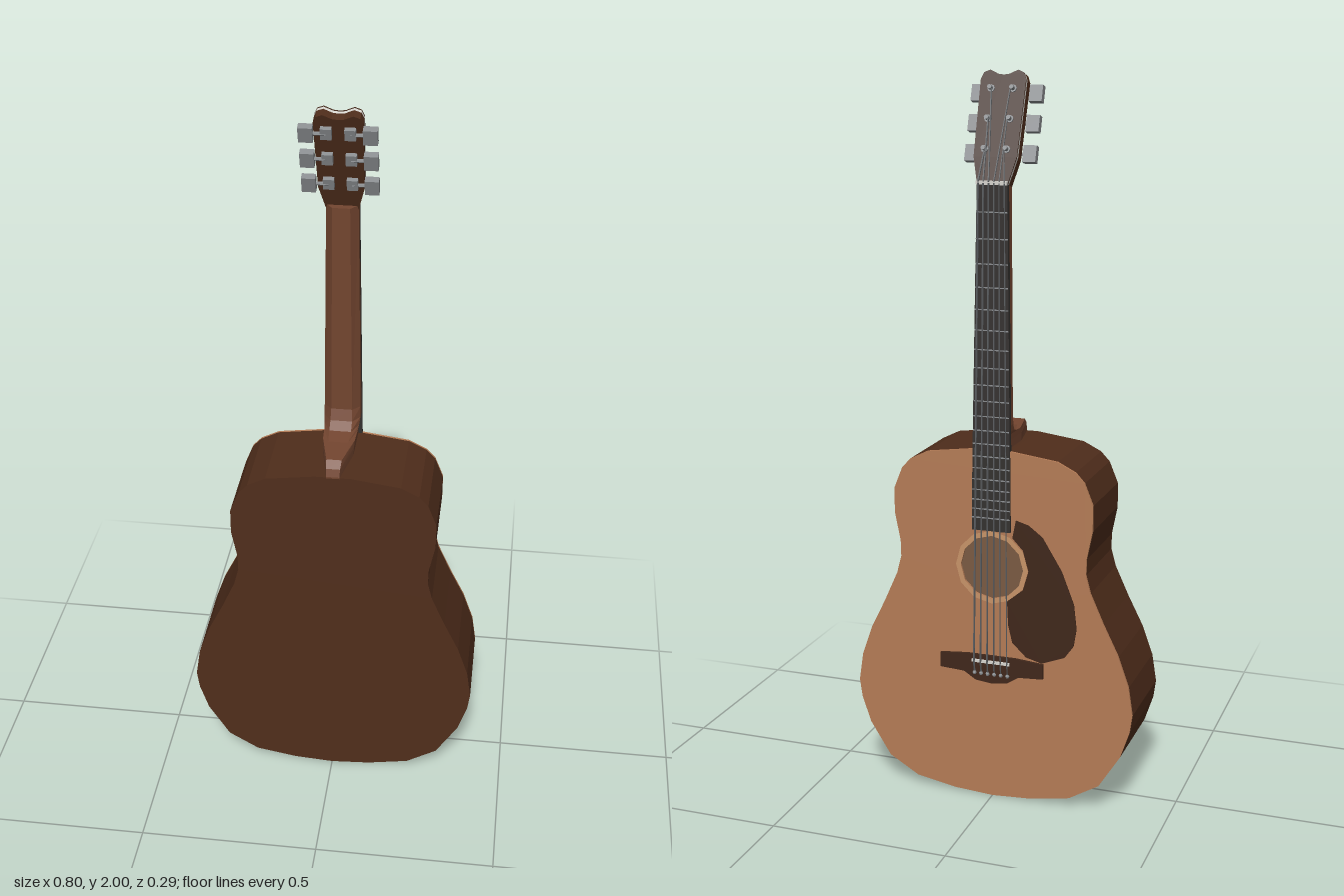
import * as THREE from 'three';

const mat = (color) => new THREE.MeshStandardMaterial({ color, flatShading: true });
const WOOD = mat(0x4f2d1b), SPRUCE = mat(0xb57c56), NECK = mat(0x744630), DARK = mat(0x40271a);
const BOARD = mat(0x33302e), METAL = mat(0x8a8d90), STRING = mat(0x5a5d60), WHITE = mat(0xd8d6d0);
const HOLE = mat(0x7a5a42), RING = mat(0xc89468);

const FACE = -0.132; // z of the soundboard

function add(parent, name, geometry, material, x = 0, y = 0, z = 0) {
  const m = new THREE.Mesh(geometry, material);
  m.name = name;
  m.position.set(x, y, z);
  parent.add(m);
  return m;
}

const box = (w, h, d) => new THREE.BoxGeometry(w, h, d);
const polygon = (pts) => new THREE.Shape(pts.map(([x, y]) => new THREE.Vector2(x, y)));
// Closed outline from its right half, listed bottom to top
const mirrored = (half) => polygon([...half, ...half.filter(([x]) => x > 0).reverse().map(([x, y]) => [-x, y])]);
const slab = (shape, depth) => new THREE.ExtrudeGeometry(shape, { depth, bevelEnabled: false, curveSegments: 5 });

// Thin rod between two points
function rod(parent, name, a, b, r, material, sides = 5) {
  const from = new THREE.Vector3(...a), dir = new THREE.Vector3(...b).sub(from);
  const m = add(parent, name, new THREE.CylinderGeometry(r, r, dir.length(), sides), material);
  m.position.copy(from).addScaledVector(dir, 0.5);
  m.quaternion.setFromUnitVectors(new THREE.Vector3(0, 1, 0), dir.normalize());
  return m;
}

// Skin over equal-length rings of points, listed bottom to top
function loft(rings) {
  const n = rings[0].length, index = [];
  for (let i = 0; i < rings.length - 1; i++) {
    for (let j = 0; j < n; j++) {
      const a = i * n + j, b = i * n + (j + 1) % n;
      index.push(a, b, b + n, a, b + n, a + n);
    }
  }
  const top = (rings.length - 1) * n;
  for (let k = 1; k < n - 1; k++) index.push(top, top + k, top + k + 1, 0, k + 1, k);
  const g = new THREE.BufferGeometry();
  g.setAttribute('position', new THREE.Float32BufferAttribute(rings.flat(2), 3));
  g.setIndex(index);
  const flat = g.toNonIndexed();
  flat.computeVertexNormals();
  return flat;
}

function buildBody(root) {
  const outline = () => mirrored([
    [0, 0.003], [0.11, 0.01], [0.225, 0.03], [0.31, 0.08], [0.37, 0.175], [0.395, 0.25], [0.402, 0.3],
    [0.39, 0.38], [0.36, 0.465], [0.318, 0.55], [0.28, 0.635], [0.267, 0.685], [0.268, 0.73],
    [0.284, 0.81], [0.284, 0.88], [0.26, 0.94], [0.235, 0.967], [0.185, 0.992], [0.05, 1.01], [0, 1.01]]);

  // Box of the body, with a back that slopes in toward the neck
  const g = slab(outline(), 0.25);
  const p = g.attributes.position;
  for (let i = 0; i < p.count; i++) {
    p.setZ(i, p.getZ(i) > 0.1 ? 0.143 - 0.03 * p.getY(i) : FACE + 0.007);
  }
  g.computeVertexNormals();
  add(root, 'bodyBackAndSides', g, WOOD);

  // Soundboard with its round opening
  const top = outline();
  const hole = new THREE.Path();
  for (let i = 0; i < 12; i++) {
    const a = i / 12 * Math.PI * 2, x = 0.09 * Math.cos(a), y = 0.68 + 0.09 * Math.sin(a);
    if (i) hole.lineTo(x, y); else hole.moveTo(x, y);
  }
  hole.closePath();
  top.holes.push(hole);
  add(root, 'soundboard', slab(top, 0.007), SPRUCE, 0, 0, FACE);
  add(root, 'soundHole', new THREE.CircleGeometry(0.092, 12), HOLE, 0, 0.68, FACE + 0.006).rotation.y = Math.PI;
  add(root, 'soundHoleRing', new THREE.RingGeometry(0.09, 0.104, 12), RING, 0, 0.68, FACE - 0.001).rotation.y = Math.PI;

  // Teardrop guard beside the opening
  const guard = polygon([
    [-0.07, 0.82], [-0.105, 0.81], [-0.145, 0.78], [-0.2, 0.69], [-0.235, 0.6], [-0.243, 0.53],
    [-0.235, 0.48], [-0.21, 0.445], [-0.145, 0.42], [-0.1, 0.432], [-0.06, 0.47], [-0.048, 0.52],
    [-0.045, 0.588], [-0.09, 0.625], [-0.106, 0.68], [-0.09, 0.738], [-0.06, 0.77]]);
  add(root, 'pickguard', slab(guard, 0.003), DARK, 0, 0, FACE - 0.003);

  // Bridge, saddle and string pins
  const bridge = mirrored([[0, 0.345], [0.045, 0.35], [0.08, 0.372], [0.15, 0.376], [0.15, 0.418], [0.07, 0.425], [0, 0.425]]);
  add(root, 'bridge', slab(bridge, 0.009), DARK, 0, 0, FACE - 0.009);
  add(root, 'saddle', box(0.11, 0.008, 0.006), WHITE, 0, 0.408, FACE - 0.011);
}

function buildNeck(root) {
  // Each row: height, front z, back z, front half width, back half width
  const rows = [
    [0.99, -0.125, 0.112, 0.042, 0.018], [1.012, -0.125, 0.113, 0.042, 0.018],
    [1.034, -0.125, 0.107, 0.043, 0.019], [1.05, -0.125, 0.085, 0.044, 0.021],
    [1.053, -0.125, 0.0, 0.046, 0.027], [1.06, -0.125, -0.045, 0.048, 0.03],
    [1.078, -0.125, -0.07, 0.05, 0.03], [1.11, -0.124, -0.08, 0.05, 0.029],
    [1.715, -0.112, -0.064, 0.042, 0.023]];
  add(root, 'neckAndHeel', loft(rows.map(([y, f, b, w, v]) => {
    const m = (f + b) / 2;
    return [[-w, y, f], [-w, y, m], [-v, y, b], [v, y, b], [w, y, m], [w, y, f]];
  })), NECK);

  // Tapered fingerboard reaching down to the sound hole
  const ring = (y, w, f, b) => [[-w, y, f], [-w, y, b], [w, y, b], [w, y, f]];
  add(root, 'fingerboard', loft([ring(0.785, 0.055, -0.139, -0.13), ring(1.0, 0.053, -0.136, -0.123),
    ring(1.715, 0.042, -0.123, -0.11)]), BOARD);
  for (let i = 1; i <= 20; i++) {
    const y = 0.41 + 1.305 * Math.pow(2, -i / 12), t = (1.715 - y) / 0.93;
    add(root, 'fret' + i, box(0.084 + 0.026 * t, 0.003, 0.004), METAL, 0, y, -0.123 - 0.016 * t);
  }
  add(root, 'nut', box(0.084, 0.01, 0.02), WHITE, 0, 1.717, -0.12);
}

function buildHeadstock(root) {
  const head = new THREE.Group();
  head.name = 'headstock';
  head.position.set(0, 1.715, -0.122);
  head.rotation.x = 0.325; // leans toward the back
  root.add(head);

  // Three layers: dark face, pale edge, wooden back
  const outline = mirrored([[0, 0], [0.042, 0], [0.059, 0.07], [0.062, 0.275], [0.055, 0.293], [0.038, 0.3], [0.015, 0.289], [0, 0.287]]);
  add(head, 'headFace', slab(outline, 0.004), DARK);
  add(head, 'headEdge', slab(outline, 0.008), WHITE, 0, 0, 0.004);
  add(head, 'headBack', slab(outline, 0.024), WOOD, 0, 0, 0.012);

  // Tuning machines, three on each side
  for (const side of [-1, 1]) {
    [0.09, 0.17, 0.25].forEach((v) => {
      const x = side * 0.03;
      add(head, 'tunerHousing', box(0.028, 0.032, 0.014), METAL, x, v, 0.042);
      rod(head, 'tunerShaft', [x, v, 0.045], [side * 0.07, v, 0.045], 0.005, METAL, 6);
      add(head, 'tunerButton', box(0.036, 0.044, 0.02), METAL, side * 0.08, v, 0.045);
      add(head, 'tunerWasher', new THREE.CylinderGeometry(0.01, 0.01, 0.004, 8), METAL, x, v, -0.002).rotation.x = Math.PI / 2;
      rod(head, 'tunerPost', [x, v, 0], [x, v, -0.018], 0.006, METAL, 8);
    });
  }
  return head;
}

function buildStrings(root, head) {
  for (let i = 0; i < 6; i++) {
    const s = (i - 2.5) / 2.5, r = 0.0018 + 0.0002 * i;
    const v = 0.09 + 0.2 * (1 - Math.abs(s));
    rod(root, 'string', [s * 0.048, 0.408, -0.147], [s * 0.036, 1.717, -0.131], r, STRING);
    rod(root, 'stringTail', [s * 0.048, 0.408, -0.147], [s * 0.048, 0.375, -0.141], r, STRING);
    add(root, 'bridgePin', new THREE.SphereGeometry(0.006, 6, 4), METAL, s * 0.048, 0.372, -0.142);
    rod(head, 'stringEnd', [s * 0.036, 0.002, -0.01], [Math.sign(s) * 0.026, v, -0.012], r, STRING);
  }
}

export function createModel() {
  const root = new THREE.Group();
  root.name = 'acousticGuitar';
  buildBody(root);
  buildNeck(root);
  buildStrings(root, buildHeadstock(root));
  return root;
}
